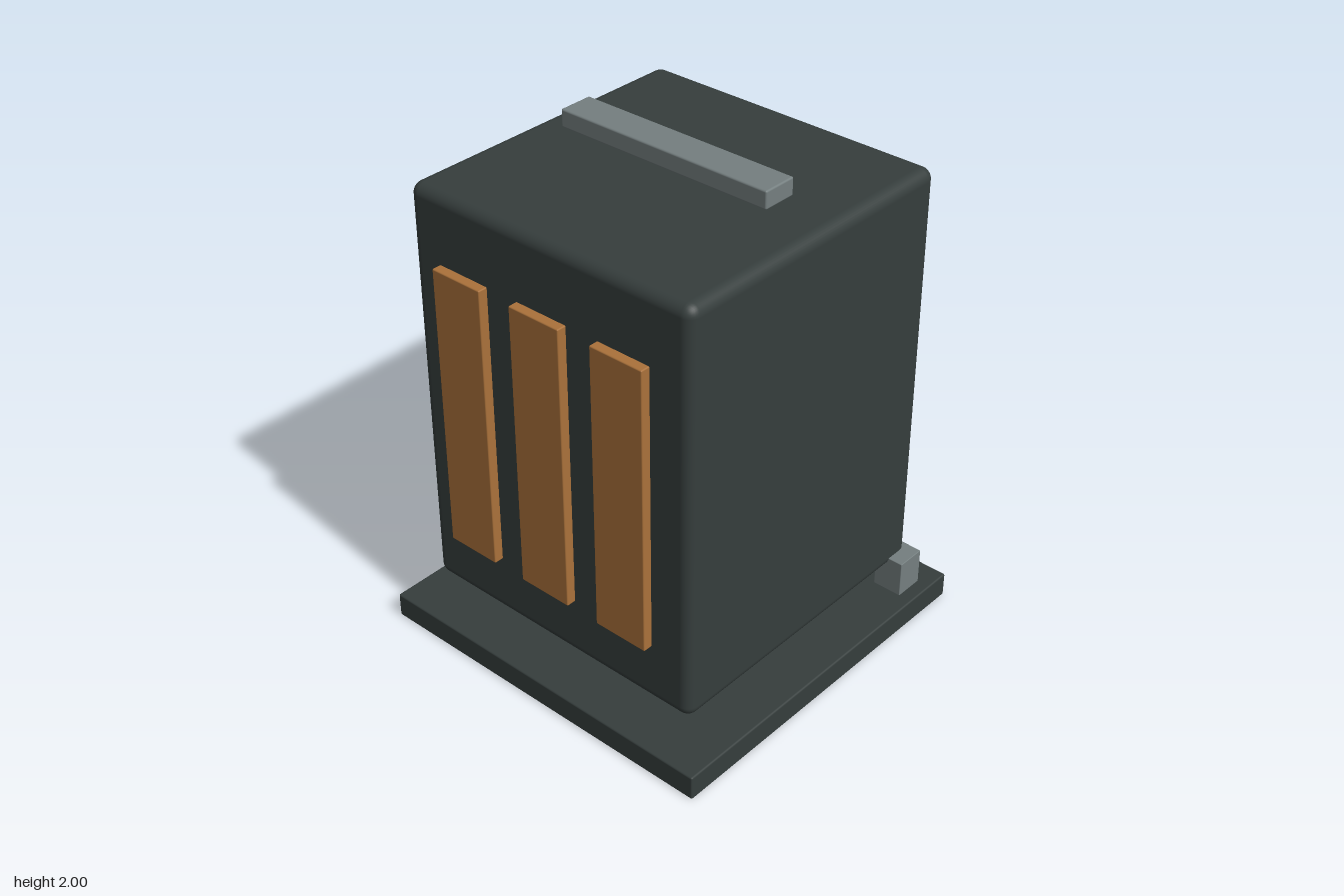
import * as THREE from 'three';
import { RoundedBoxGeometry } from 'three/addons/geometries/RoundedBoxGeometry.js';

function material(name, color) {
  const m = new THREE.MeshStandardMaterial({ color });
  m.name = name;
  return m;
}

export function createModel() {
  const model = new THREE.Group();
  model.name = 'cabinet';
  const dark = material('dark casing', 0x363e3d);
  const copper = material('copper', 0xab723b);
  const steel = material('grey steel', 0x757f80);

  // Softly bevelled box given by size and centre
  const box = (name, mat, [w, h, d], [x, y, z], radius, segments = 2) => {
    const mesh = new THREE.Mesh(new RoundedBoxGeometry(w, h, d, segments, radius), mat);
    mesh.name = name;
    mesh.position.set(x, y, z);
    model.add(mesh);
  };

  // Base slab and casing
  box('base', dark, [1.5, 0.1, 1.5], [0, 0.05, 0], 0.007);
  box('body', dark, [1.27, 1.67, 1.27], [0, 1.045, 0], 0.045, 4);

  // Bar above the lid
  box('handle', steel, [0.92, 0.07, 0.14], [0, 1.965, 0], 0.007);

  // Three upright panels in front of the casing
  for (const x of [-0.365, 0, 0.365]) {
    box('frontPanel', copper, [0.227, 1.145, 0.04], [x, 1.05, 0.67], 0.005);
  }

  // Blocks under the two rear corners
  for (const side of [-1, 1]) {
    box('rearFoot', steel, [0.122, 0.15, 0.122], [side * 0.635, 0.175, -0.583], 0.003);
  }
  return model;
}
